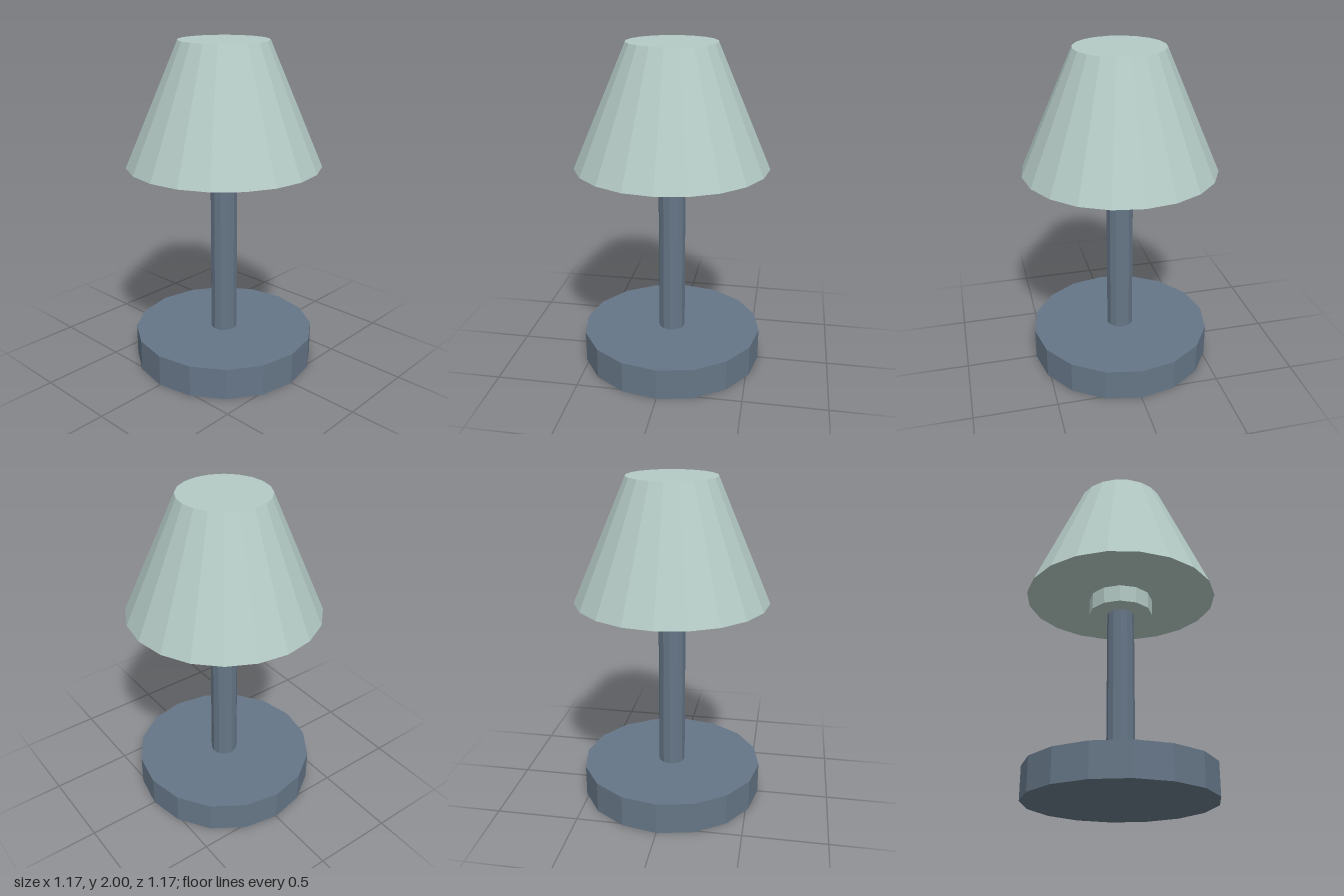
import * as THREE from 'three';

const slate = new THREE.MeshStandardMaterial({ color: 0x667687, flatShading: true });
const sage = new THREE.MeshStandardMaterial({ color: 0xb4cac5, flatShading: true });

// Closed faceted drum or cone standing between two heights
function drum(name, topRadius, bottomRadius, y0, y1, sides, material) {
  const geometry = new THREE.CylinderGeometry(topRadius, bottomRadius, y1 - y0, sides);
  const mesh = new THREE.Mesh(geometry, material);
  mesh.name = name;
  mesh.position.y = (y0 + y1) / 2;
  return mesh;
}

export function createModel() {
  const lamp = new THREE.Group();
  lamp.name = 'tableLamp';
  lamp.add(
    drum('base', 0.56, 0.56, 0, 0.195, 16, slate),
    drum('pole', 0.083, 0.083, 0.195, 1.17, 12, slate),
    drum('socket', 0.195, 0.195, 1.165, 1.3, 12, sage),
    drum('shade', 0.268, 0.585, 1.27, 2, 20, sage),
  );
  return lamp;
}
